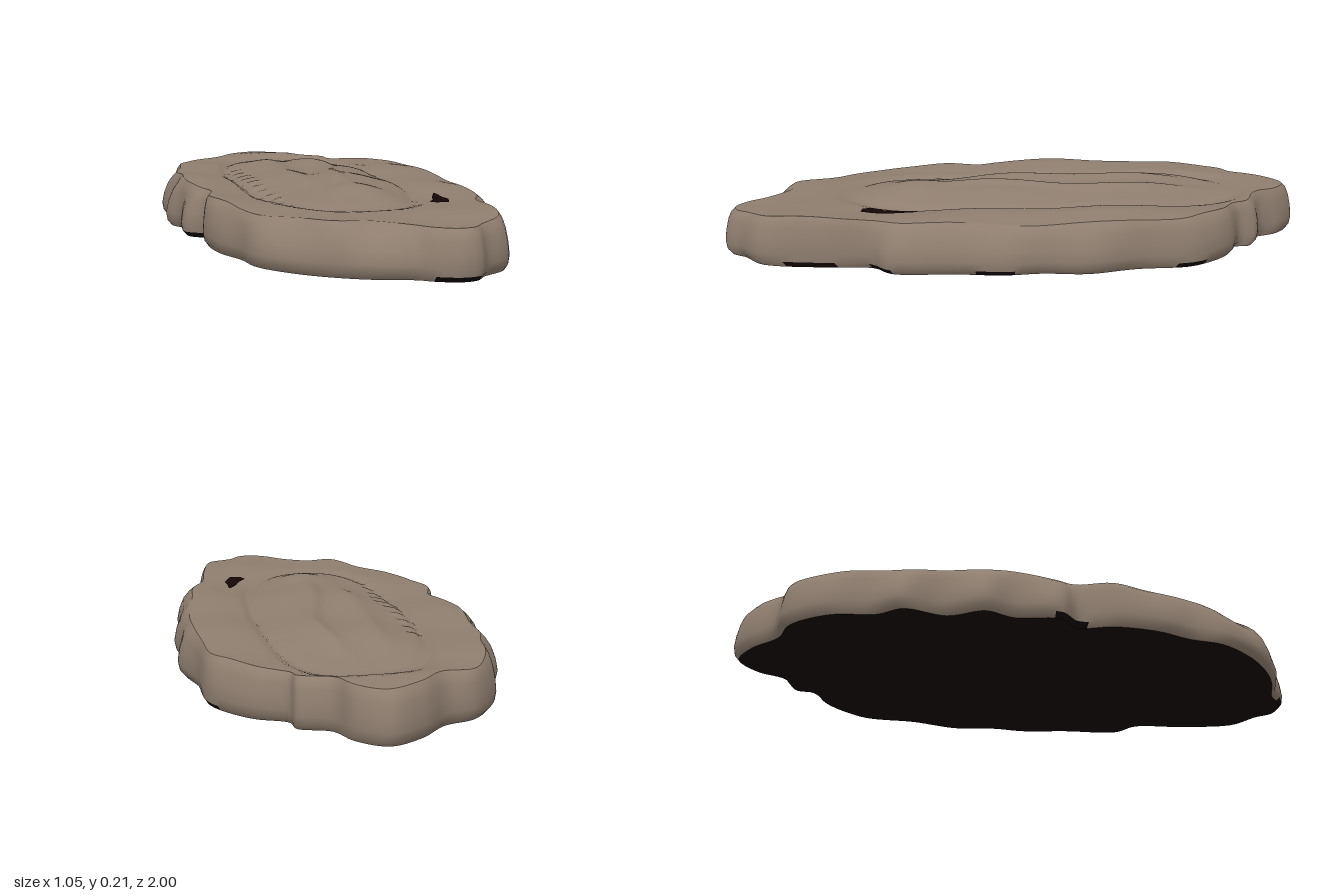
import * as THREE from 'three';
import { toCreasedNormals } from 'three/addons/utils/BufferGeometryUtils.js';

// Slab outline, clockwise seen from above: x, z, width of the bevelled top edge
const OUTLINE = [
  [-0.02, -1.0, 0.03], [0.07, -0.94, 0.03], [0.12, -0.85, 0.02], [0.22, -0.81, 0.03], [0.235, -0.75, 0.02],
  [0.335, -0.70, 0.03], [0.415, -0.62, 0.04], [0.46, -0.54, 0.03], [0.475, -0.37, 0.02], [0.52, -0.2, 0.05],
  [0.505, -0.05, 0.03], [0.515, 0.08, 0.05], [0.49, 0.24, 0.05], [0.47, 0.44, 0.06], [0.395, 0.51, 0.02],
  [0.375, 0.67, 0.03], [0.325, 0.87, 0.04], [0.23, 0.94, 0.03], [0.19, 0.985, 0.03], [0.135, 0.995, 0.03],
  [0.07, 0.97, 0.04], [0.02, 0.935, 0.06], [-0.09, 0.90, 0.10], [-0.2, 0.84, 0.05], [-0.305, 0.75, 0.09],
  [-0.39, 0.63, 0.06], [-0.415, 0.51, 0.03], [-0.46, 0.39, 0.05], [-0.475, 0.24, 0.02], [-0.45, 0.12, 0.02],
  [-0.51, 0.05, 0.06], [-0.495, -0.10, 0.02], [-0.53, -0.2, 0.06], [-0.475, -0.32, 0.02], [-0.505, -0.46, 0.06],
  [-0.45, -0.545, 0.03], [-0.425, -0.69, 0.04], [-0.33, -0.82, 0.02], [-0.225, -0.86, 0.03], [-0.13, -0.95, 0.03],
];
const SEGMENTS = 280;
const TOP_RINGS = 44;

const smooth = THREE.MathUtils.smoothstep;
const bell = (d, w) => Math.exp(-(d * d) / (w * w));

// Height of the upper surface: rough plateau, shallow trench, raised long body
function topHeight(x, z) {
  let y = 0.16 + 0.005 * Math.sin(9 * x + 4 * z) + 0.004 * Math.sin(13 * z - 6 * x + 1);
  y += 0.014 * bell(x - 0.36, 0.09) * bell(z - 0.05, 0.6);
  y += 0.01 * bell(x + 0.42, 0.07) * bell(z + 0.1, 0.5);
  y += 0.012 * bell(x - 0.2, 0.15) * bell(z - 0.75, 0.12) + 0.012 * bell(x, 0.3) * bell(z + 0.83, 0.08);
  const u = Math.abs(x + 0.015) / 0.265, v = Math.abs(z + 0.1) / 0.68;
  const q = Math.pow(u ** 2.6 + v ** 2.6, 1 / 2.6);
  y -= 0.012 * bell(q - 1, 0.07);
  const inside = 1 - smooth(q, 0.4, 1);
  y += 0.028 * inside;
  // Curving spine, side ridge and rounded front end
  const spine = 0.01 + 0.07 * bell(z + 0.3, 0.28);
  y += inside * 0.016 * bell(x - spine, 0.035) * (1 - smooth(z, 0.1, 0.4));
  y += inside * 0.014 * bell(x + 0.1, 0.045) * (1 - smooth(z, 0, 0.3));
  y += 0.026 * bell(x - 0.02, 0.1) * bell(z - 0.36, 0.1);
  // Small notches along the left side of the body
  y += 0.003 * bell(x + 0.24, 0.03) * Math.sin(75 * z) * (Math.abs(z) < 0.4 ? 1 : 0);
  return y;
}

// Dark chips along the foot of the wall
function isChip(x, z) {
  const near = (a, b, w) => Math.hypot(x - a, z - b) < w;
  return near(0.38, 0.7, 0.08) || near(0.44, 0.47, 0.06) || near(0.515, 0.1, 0.06) ||
    near(0.46, -0.56, 0.06) || near(0.13, 0.99, 0.07) || near(-0.48, 0.1, 0.06);
}

function buildGeometry(positions, index) {
  const g = new THREE.BufferGeometry();
  g.setAttribute('position', new THREE.Float32BufferAttribute(positions, 3));
  g.setIndex(index);
  return toCreasedNormals(g, 0.6);
}

export function createModel() {
  const group = new THREE.Group();
  const stone = new THREE.MeshStandardMaterial({ color: 0x8f7e6f });
  stone.name = 'stone';
  const dark = new THREE.MeshStandardMaterial({ color: 0x140605 });
  dark.name = 'darkUnderside';

  // The curve's y carries the bevel width
  const curve = new THREE.CatmullRomCurve3(
    OUTLINE.map(([x, z, bevel]) => new THREE.Vector3(x, bevel, z)), true, 'centripetal');
  const rim = Array.from({ length: SEGMENTS }, (_, i) => curve.getPoint(i / SEGMENTS));

  // Rings run from the underside's centre, up the wall and in across the top
  const positions = [];
  let rings = 0;
  const addRing = (place) => {
    for (const p of rim) positions.push(...place(p));
    rings++;
  };
  const inset = (p, d) => {
    const k = 1 - d / Math.hypot(p.x, p.z);
    return [p.x * k, p.z * k];
  };
  const wallRing = (share, extra, level) => addRing((p) => {
    const [x, z] = inset(p, p.y * share + extra);
    return [x, level * (topHeight(x, z) - 0.006), z];
  });
  addRing(() => [0, 0.003, 0]);
  wallRing(0, 0.02, 0.02);
  wallRing(0, 0.005, 0.13);
  wallRing(0, 0, 0.3);
  wallRing(0.15, 0, 0.55);
  wallRing(0.45, 0, 0.8);
  wallRing(0.8, 0, 0.95);
  for (let r = 0; r <= TOP_RINGS; r++) {
    const t = 1 - r / TOP_RINGS;
    addRing((p) => {
      const [x, z] = inset(p, p.y + 0.008);
      return [x * t, topHeight(x * t, z * t), z * t];
    });
  }

  const stoneIndex = [], darkIndex = [];
  for (let r = 0; r < rings - 1; r++) {
    for (let i = 0; i < SEGMENTS; i++) {
      const n = (i + 1) % SEGMENTS;
      const a = r * SEGMENTS + i, b = r * SEGMENTS + n, c = a + SEGMENTS, d = b + SEGMENTS;
      const isDark = r === 0 || (r === 1 && isChip(rim[i].x, rim[i].z));
      const target = isDark ? darkIndex : stoneIndex;
      if (r > 0) target.push(a, c, b);
      if (r < rings - 2) target.push(b, c, d);
      else if (r === 0) target.push(b, c, d);
    }
  }
  const slab = new THREE.Mesh(buildGeometry(positions, stoneIndex), stone);
  slab.name = 'stoneSlab';
  const underside = new THREE.Mesh(buildGeometry(positions, darkIndex), dark);
  underside.name = 'underside';
  group.add(slab, underside);

  // Dark gap in the top surface, draped just above it
  const left = [[0.285, 0.345], [0.255, 0.41], [0.24, 0.46], [0.21, 0.5], [0.225, 0.53]];
  const right = [[0.29, 0.36], [0.288, 0.41], [0.293, 0.46], [0.28, 0.5], [0.265, 0.535]];
  const gapPoints = [], gapIndex = [];
  left.forEach((l, i) => {
    for (const [x, z] of [l, right[i]]) gapPoints.push(x, topHeight(x, z) + 0.004, z);
    if (i > 0) {
      const k = 2 * i;
      gapIndex.push(k - 2, k, k - 1, k - 1, k, k + 1);
    }
  });
  const gap = new THREE.Mesh(buildGeometry(gapPoints, gapIndex), dark);
  gap.name = 'topGap';
  group.add(gap);
  return group;
}
